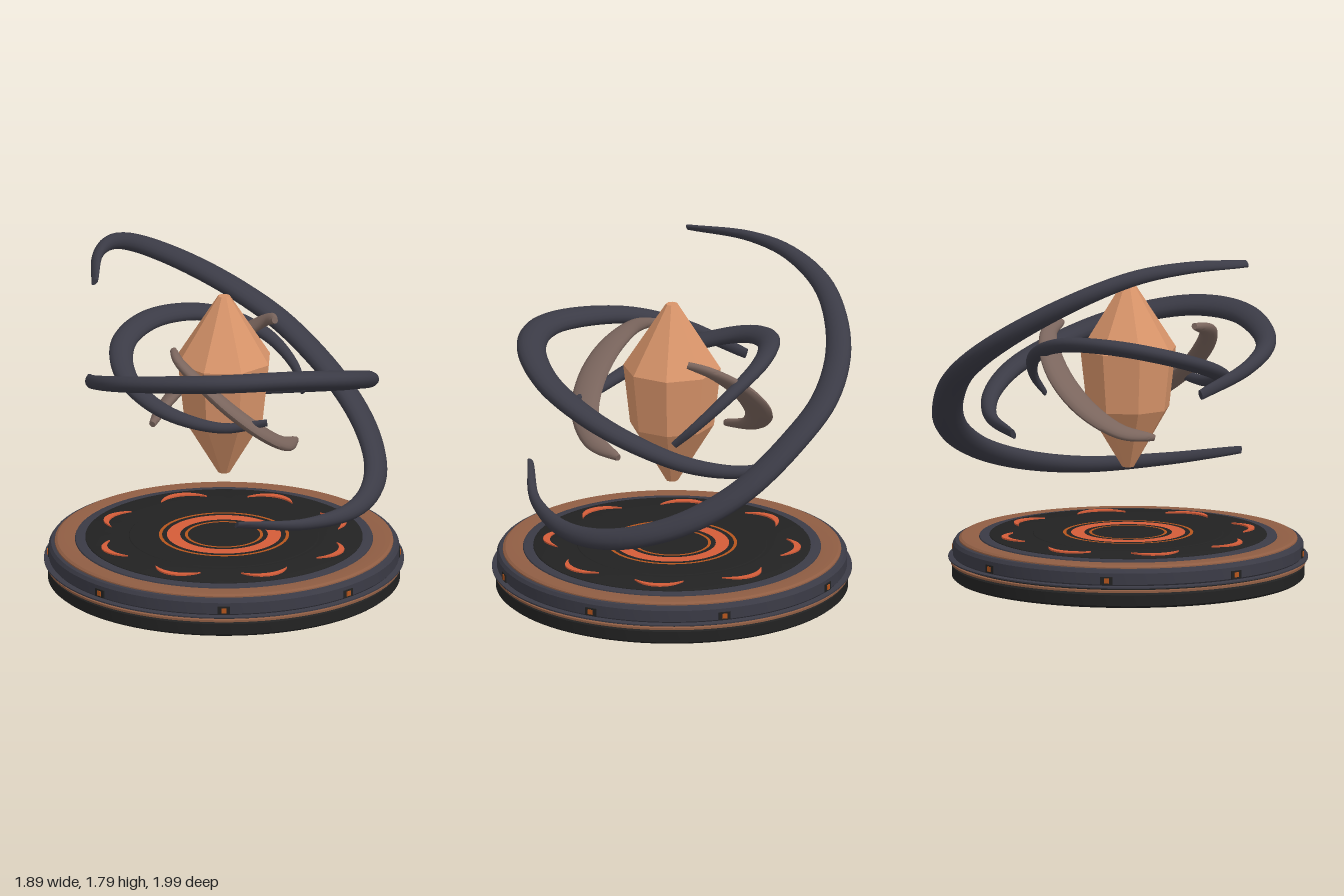
import * as THREE from 'three';
import { toCreasedNormals } from 'three/addons/utils/BufferGeometryUtils.js';

const mat = (name, color, side = THREE.FrontSide) => {
  const m = new THREE.MeshStandardMaterial({ color, side });
  m.name = name;
  return m;
};
const V = (a) => new THREE.Vector3(...a);
const CENTRE = new THREE.Vector3(0, 1.1, 0.05);

function add(parent, name, geometry, material) {
  const mesh = new THREE.Mesh(geometry, material);
  mesh.name = name;
  parent.add(mesh);
  return mesh;
}

// Smooth body of revolution with sharp profile corners
const turned = (profile, segments = 96) => toCreasedNormals(
  new THREE.LatheGeometry(profile.map(([r, y]) => new THREE.Vector2(r, y)), segments), 0.5);

// Tapered blade swept along a curve; "wide" points away from the centre, "thin" lies across it
function blade(points, wide, thin, tipWide, tipThin, power = 1.2) {
  const curve = new THREE.CatmullRomCurve3(points.map(V), false, 'centripetal');
  const steps = 80, sides = 16, pos = [], index = [];
  for (let i = 0; i <= steps; i++) {
    const t = i / steps;
    const p = curve.getPointAt(t);
    const tan = curve.getTangentAt(t);
    const radial = p.clone().sub(CENTRE);
    radial.addScaledVector(tan, -radial.dot(tan)).normalize();
    const across = tan.clone().cross(radial);
    const s = Math.sin(Math.PI * t);
    const w = tipWide + (wide - tipWide) * Math.pow(Math.max(s, 0), power);
    const h = tipThin + (thin - tipThin) * Math.pow(Math.max(s, 0), 0.7);
    for (let j = 0; j < sides; j++) {
      const a = (j / sides) * Math.PI * 2;
      const q = p.clone().addScaledVector(radial, Math.cos(a) * w).addScaledVector(across, Math.sin(a) * h);
      pos.push(q.x, q.y, q.z);
      if (i < steps) {
        const b = i * sides + j, c = i * sides + (j + 1) % sides;
        index.push(b, c, b + sides, c, c + sides, b + sides);
      }
    }
  }
  // End caps
  const last = steps * sides;
  for (let j = 1; j < sides - 1; j++) {
    index.push(0, j + 1, j, last, last + j, last + j + 1);
  }
  const g = new THREE.BufferGeometry();
  g.setAttribute('position', new THREE.Float32BufferAttribute(pos, 3));
  g.setIndex(index);
  return toCreasedNormals(g, 0.8);
}

// Flat ring lying on the platform
function flatRing(inner, outer, y) {
  const g = new THREE.RingGeometry(inner, outer, 72);
  g.rotateX(-Math.PI / 2);
  g.translate(0, y, 0);
  return g;
}

export function createModel() {
  const black = mat('black stone', 0x222222);
  const slate = mat('slate metal', 0x3b3b46);
  const copper = mat('copper trim', 0x8f5d43);
  const orange = mat('glowing orange', 0xd45c38);
  const amber = mat('dark amber', 0xb5551c);
  const amberCrystal = mat('crystal', 0xd8946a);
  const brown = mat('dusky brown', 0x7a655d);

  const model = new THREE.Group();
  model.name = 'floatingCrystalShrine';

  // Round platform
  const base = new THREE.Group();
  base.name = 'platform';
  base.position.z = 0.05;
  model.add(base);
  add(base, 'foot', turned([[0, 0], [0.91, 0], [0.925, 0.012], [0.925, 0.07], [0.915, 0.08], [0.915, 0.115]]), black);
  add(base, 'lowerTrim', turned([[0.91, 0.08], [0.932, 0.083], [0.932, 0.094], [0.91, 0.097]]), copper);
  add(base, 'flange', turned([[0.91, 0.104], [0.945, 0.108], [0.945, 0.115], [0.91, 0.118]]), slate);
  add(base, 'sideBand', turned([[0.91, 0.113], [0.92, 0.125], [0.92, 0.185], [0.908, 0.203], [0.87, 0.208]]), slate);
  add(base, 'upperTrim', turned([[0.89, 0.2], [0.888, 0.212], [0.875, 0.22], [0.79, 0.22], [0.77, 0.215]]), copper);
  add(base, 'innerBand', turned([[0.785, 0.214], [0.78, 0.224], [0.77, 0.227], [0.7, 0.227]]), slate);
  add(base, 'topDisc', turned([[0.73, 0.22], [0.728, 0.23], [0.72, 0.234], [0.5, 0.234], [0.496, 0.237], [0, 0.237]]), black);

  // Rings inlaid in the top
  add(base, 'innerThinRing', flatRing(0.19, 0.205, 0.24), amber);
  add(base, 'broadRing', flatRing(0.23, 0.3, 0.24), orange);
  add(base, 'outerThinRing', flatRing(0.325, 0.342, 0.24), amber);

  // Crescent inlays around the top
  const crescent = new THREE.Shape();
  crescent.moveTo(-0.13, 0.59);
  crescent.quadraticCurveTo(-0.08, 0.68, 0, 0.68);
  crescent.quadraticCurveTo(0.08, 0.68, 0.13, 0.59);
  crescent.quadraticCurveTo(0.07, 0.645, 0, 0.645);
  crescent.quadraticCurveTo(-0.07, 0.645, -0.13, 0.59);
  const crescentGeo = new THREE.ExtrudeGeometry(crescent, { depth: 0.009, bevelEnabled: false, curveSegments: 10 });
  crescentGeo.rotateX(-Math.PI / 2);
  for (let i = 0; i < 8; i++) {
    const mark = add(base, 'crescentInlay', crescentGeo, orange);
    mark.position.y = 0.233;
    mark.rotation.y = (i + 0.5) * Math.PI / 4;
  }

  // Small lamps set in the side band
  const housing = new THREE.BoxGeometry(0.065, 0.042, 0.02);
  const lens = new THREE.BoxGeometry(0.026, 0.026, 0.009);
  for (let i = 0; i < 8; i++) {
    const lamp = new THREE.Group();
    lamp.name = 'sideLamp';
    lamp.rotation.y = i * Math.PI / 4 + 0.028;
    add(lamp, 'lampHousing', housing, black).position.set(0, 0.145, 0.915);
    add(lamp, 'lampLens', lens, amber).position.set(0, 0.145, 0.925);
    base.add(lamp);
  }

  // Eight-sided crystal
  const profile = [[0, 0.59], [0.032, 0.59], [0.222, 0.905], [0.258, 1.22], [0.032, 1.57], [0, 1.57]];
  const gem = new THREE.LatheGeometry(profile.map(([r, y]) => new THREE.Vector2(r, y)), 8, Math.PI / 8).toNonIndexed();
  gem.computeVertexNormals();
  add(model, 'crystal', gem, amberCrystal).position.z = 0.05;

  // Three slate blades orbiting the crystal
  add(model, 'outerBlade', blade([
    [-0.67, 1.74, 0.33], [-0.665, 1.757, -0.05], [-0.6, 1.725, -0.34], [-0.47, 1.62, -0.61],
    [-0.2, 1.425, -0.84], [0.07, 1.24, -0.915], [0.3, 1.08, -0.87], [0.58, 0.83, -0.69],
    [0.74, 0.65, -0.42], [0.79, 0.527, -0.075], [0.7, 0.475, 0.27], [0.44, 0.505, 0.62], [0.09, 0.58, 0.85],
  ], 0.084, 0.052, 0.012, 0.022), slate);
  add(model, 'middleBlade', blade([
    [-0.71, 1.08, 0.0], [-0.67, 1.18, 0.33], [-0.5, 1.26, 0.58], [0, 1.335, 0.775], [0.35, 1.33, 0.7],
    [0.62, 1.25, 0.45], [0.735, 1.14, 0.13], [0.73, 1.04, -0.15], [0.62, 0.94, -0.38],
    [0.4, 0.86, -0.55], [0.12, 0.815, -0.61],
  ], 0.08, 0.05, 0.014, 0.028, 0.9), slate);
  add(model, 'innerBlade', blade([
    [0.24, 1.025, 0.5], [0, 1.0, 0.52], [-0.3, 1.06, 0.44], [-0.5, 1.16, 0.22], [-0.53, 1.26, -0.08],
    [-0.37, 1.315, -0.32], [-0.08, 1.3, -0.44], [0.2, 1.2, -0.41], [0.36, 1.06, -0.3], [0.41, 0.95, -0.19],
  ], 0.065, 0.04, 0.01, 0.02, 0.9), slate);

  // Pair of brown crescents facing each other across the crystal
  const guard = blade([
    [-0.26, 1.35, 0.29], [-0.22, 1.315, 0.4], [-0.1, 1.22, 0.48], [0.05, 1.09, 0.505],
    [0.2, 0.96, 0.46], [0.32, 0.855, 0.34], [0.38, 0.81, 0.16],
  ], 0.08, 0.034, 0.016, 0.018, 0.8);
  guard.translate(0, 0, -0.05);
  for (const turn of [0, Math.PI]) {
    const mesh = add(model, turn ? 'backGuard' : 'frontGuard', guard, brown);
    mesh.position.z = 0.05;
    mesh.rotation.y = turn;
  }
  return model;
}
